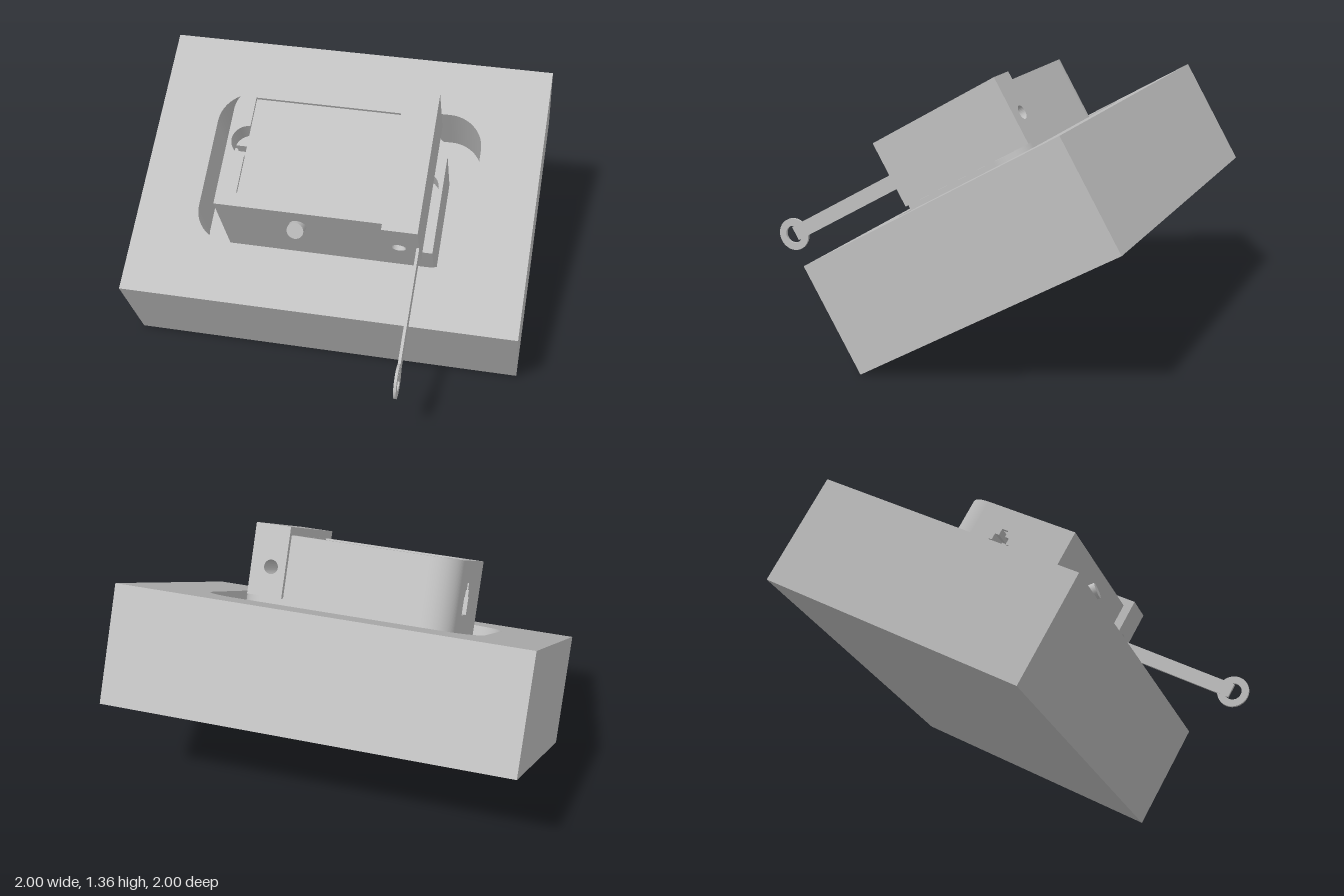
import * as THREE from 'three';

// Local frame: y is the normal of the tilted block, z = 0 is its front lower edge.
// Plan shapes are drawn in (x, depth), where depth = -z.
const DEPTH = 1.467, MID = 0.735;

function poly(points) {
  return new THREE.Shape(points.map(([x, y]) => new THREE.Vector2(x, y)));
}

function roundRect(x0, x1, d0, d1, r) {
  const s = new THREE.Path();
  s.moveTo(x0 + r, d0);
  s.lineTo(x1 - r, d0);
  s.absarc(x1 - r, d0 + r, r, -Math.PI / 2, 0);
  s.absarc(x1 - r, d1 - r, r, 0, Math.PI / 2);
  s.absarc(x0 + r, d1 - r, r, Math.PI / 2, Math.PI);
  s.absarc(x0 + r, d0 + r, r, Math.PI, Math.PI * 1.5);
  return s;
}

function circle(x, y, r) {
  return new THREE.Path().absarc(x, y, r, 0, Math.PI * 2, true);
}

// Housing outline: square front corners, rounded back corners, optional channel in the left wall
function housing(x1, rightRadius, channel = 0) {
  const x0 = -0.53, d0 = 0.382, d1 = 1.05, r = 0.15;
  const s = new THREE.Shape();
  s.moveTo(x0, d0);
  s.lineTo(x1, d0);
  if (rightRadius) s.absarc(x1 - rightRadius, d1 - rightRadius, rightRadius, 0, Math.PI / 2);
  else s.lineTo(x1, d1);
  s.absarc(x0 + r, d1 - r, r, Math.PI / 2, Math.PI);
  if (channel) {
    s.lineTo(x0, MID + channel);
    s.lineTo(-0.43, MID + channel);
    s.lineTo(-0.43, MID - channel);
    s.lineTo(x0, MID - channel);
  }
  s.closePath();
  return s;
}

export function createModel() {
  const model = new THREE.Group();
  model.name = 'tiltedFixture';
  const body = new THREE.Group();
  body.name = 'tiltedAssembly';
  body.rotation.x = Math.PI / 6;
  body.position.z = 0.27;
  model.add(body);

  const grey = new THREE.MeshStandardMaterial({ color: 0xbfbfbf });
  grey.name = 'plain grey';

  const add = (name, geometry) => {
    const mesh = new THREE.Mesh(geometry, grey);
    mesh.name = name;
    body.add(mesh);
    return mesh;
  };
  const slab = (name, shape, y0, y1) => {
    const g = new THREE.ExtrudeGeometry(shape, { depth: y1 - y0, bevelEnabled: false, curveSegments: 20 });
    g.rotateX(-Math.PI / 2);
    g.translate(0, y0, 0);
    return add(name, g);
  };
  const box = (name, x0, x1, y0, y1, z0, z1) => {
    const g = new THREE.BoxGeometry(x1 - x0, y1 - y0, z1 - z0);
    g.translate((x0 + x1) / 2, (y0 + y1) / 2, (z0 + z1) / 2);
    return add(name, g);
  };

  // Block with a rounded pocket
  box('blockFloor', -1, 1, 0, 0.25, -DEPTH, 0);
  const rim = poly([[-1, 0], [1, 0], [1, DEPTH], [-1, DEPTH]]);
  rim.holes.push(roundRect(-0.69, 0.69, 0.318, 1.163, 0.18));
  slab('blockRim', rim, 0.25, 0.575);

  // Lower housing, with a round recess at its right end
  slab('lowerHousing', housing(0.53, 0.15), 0.25, 0.5);
  const ledge = housing(0.53, 0.15);
  ledge.holes.push(circle(0.43, MID, 0.08));
  slab('housingLedge', ledge, 0.5, 0.6);

  // Upper housing: stacked layers shape a pointed opening in the left wall
  [[0.6, 0.64, 0], [0.64, 0.73, 0.06], [0.73, 0.765, 0.042], [0.765, 0.8, 0.018]].forEach(
    ([y0, y1, half]) => slab('upperHousing', housing(0.305, 0, half), y0, y1));

  // Housing top with lid seat and finger notch
  const top = housing(0.305, 0);
  const seat = new THREE.Path();
  seat.moveTo(-0.43, 0.453);
  seat.lineTo(0.3, 0.453);
  seat.lineTo(0.3, 0.975);
  seat.lineTo(-0.43, 0.975);
  seat.lineTo(-0.43, MID + 0.08);
  seat.absarc(-0.43, MID, 0.08, Math.PI / 2, Math.PI * 1.5);
  seat.closePath();
  top.holes.push(seat);
  slab('housingTop', top, 0.8, 0.91);
  box('lid', -0.43, 0.305, 0.79, 0.893, -0.975, -0.453);

  // End cap with a hole bored front to back
  const cap = poly([[0.305, 0.6], [0.48, 0.6], [0.48, 0.95], [0.305, 0.95]]);
  cap.holes.push(circle(0.378, 0.745, 0.035));
  const capGeometry = new THREE.ExtrudeGeometry(cap, { depth: 0.745, bevelEnabled: false, curveSegments: 16 });
  capGeometry.translate(0, 0, -1.08);
  add('endCap', capGeometry);

  // Short angled pin on the front face
  const pin = add('frontPin', new THREE.CylinderGeometry(0.042, 0.042, 0.1, 24));
  pin.rotation.x = Math.PI / 4;
  pin.position.set(-0.13, 0.765, -0.37);

  // Thin lever ending in a ring
  box('leverArm', 0.466, 0.48, 0.697, 0.773, -0.345, 0.315);
  const ring = new THREE.Shape().absarc(0, 0, 0.083, 0, Math.PI * 2);
  ring.holes.push(circle(0, 0, 0.045));
  const ringGeometry = new THREE.ExtrudeGeometry(ring, { depth: 0.013, bevelEnabled: false, curveSegments: 24 });
  ringGeometry.rotateY(Math.PI / 2);
  ringGeometry.translate(0.4665, 0.735, 0.325);
  add('leverRing', ringGeometry);

  return model;
}
